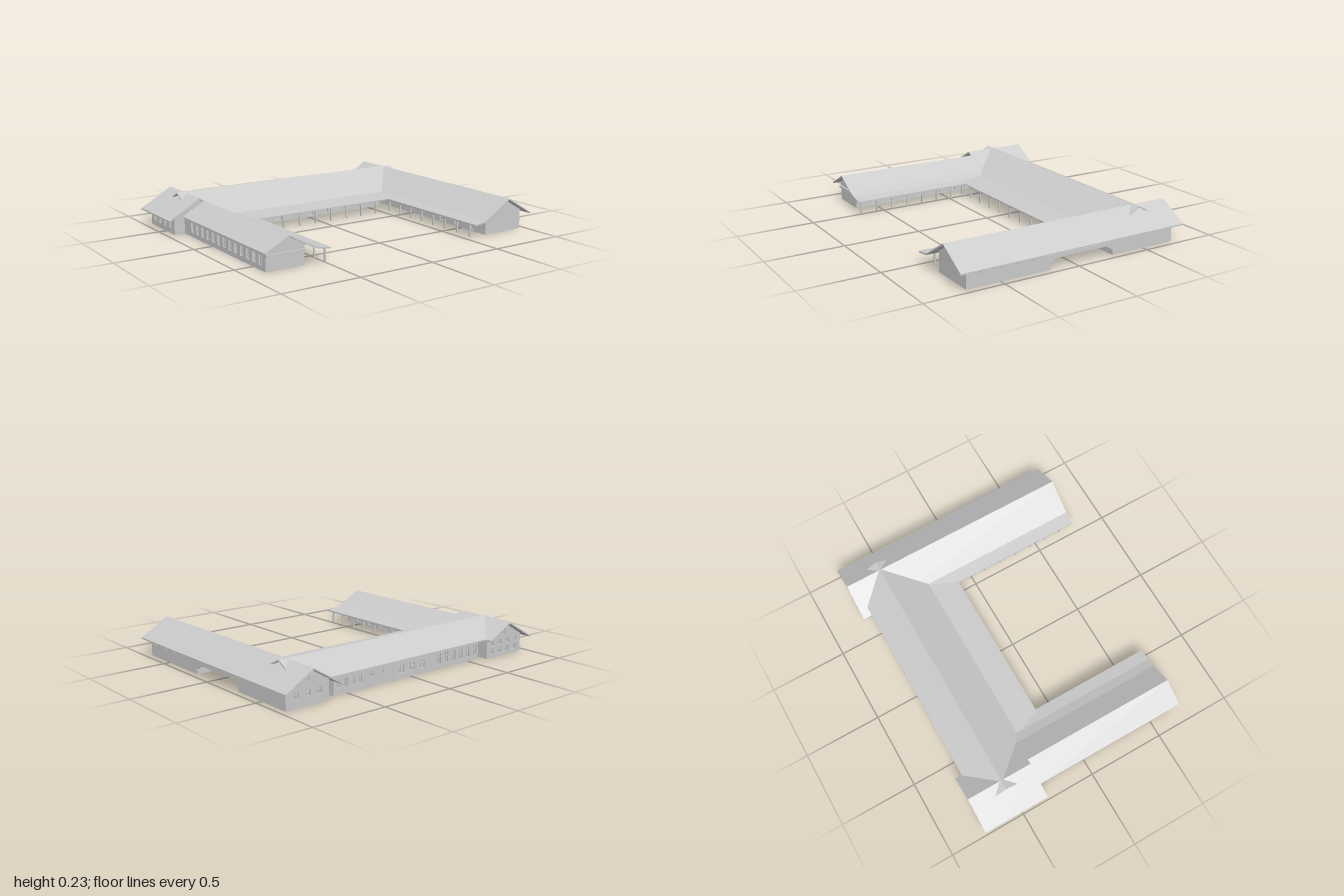
import * as THREE from 'three';

const mat = new THREE.MeshStandardMaterial({ color: 0xcccccc, flatShading: true, side: THREE.DoubleSide });
const T = 0.012;
const SIDES = { south: 0, east: Math.PI / 2, north: Math.PI, west: -Math.PI / 2 };

function add(parent, name, geo) {
  const m = new THREE.Mesh(geo, mat);
  m.name = name;
  parent.add(m);
  return m;
}

function box(parent, name, x0, x1, y0, y1, z0, z1) {
  const m = add(parent, name, new THREE.BoxGeometry(x1 - x0, y1 - y0, z1 - z0));
  m.position.set((x0 + x1) / 2, (y0 + y1) / 2, (z0 + z1) / 2);
  return m;
}

const shapeOf = (pts) => new THREE.Shape(pts.map(([x, y]) => new THREE.Vector2(x, y)));

// Roof sheet: a profile line given thickness and run along +z
function sheet(profile, from, to, t = 0.009) {
  const under = profile.map(([x, y]) => [x, y - t]).reverse();
  const g = new THREE.ExtrudeGeometry(shapeOf([...profile, ...under]), { depth: to - from, bevelEnabled: false });
  return g.translate(0, 0, from);
}

// Opening outline, square or with an arched head
function opening(o, Kind) {
  const { u, y, w, h, arch } = o, p = new Kind(), a = w / 2;
  p.moveTo(u - a, y);
  p.lineTo(u + a, y);
  if (arch) {
    p.lineTo(u + a, y + h * 0.7);
    p.quadraticCurveTo(u + a, y + h, u, y + h);
    p.quadraticCurveTo(u - a, y + h, u - a, y + h * 0.7);
  } else {
    p.lineTo(u + a, y + h);
    p.lineTo(u - a, y + h);
  }
  p.closePath();
  return p;
}

// Wall with openings, each closed by a recessed pane and two glazing bars.
// Outline and openings are given in world x (south, north) or z (east, west).
function wall(parent, name, side, at, outline, openings = []) {
  const g = new THREE.Group();
  g.name = name;
  const s = side === 'south' || side === 'west' ? 1 : -1;
  const shape = shapeOf(outline.map(([u, y]) => [u * s, y]));
  for (const o of openings) {
    const q = { ...o, u: o.u * s };
    shape.holes.push(opening(q, THREE.Path));
    const pane = add(g, 'pane', new THREE.ShapeGeometry(opening(q, THREE.Shape), 4));
    pane.position.z = -T * 0.9;
    if (o.bars === false) continue;
    box(g, 'glazingBar', q.u - 0.0015, q.u + 0.0015, o.y, o.y + o.h, -T * 0.9, -T * 0.4);
    box(g, 'glazingBar', q.u - o.w / 2, q.u + o.w / 2, o.y + o.h * 0.6, o.y + o.h * 0.6 + 0.003, -T * 0.9, -T * 0.4);
  }
  add(g, 'wallPanel', new THREE.ExtrudeGeometry(shape, { depth: T, bevelEnabled: false, curveSegments: 5 }).translate(0, 0, -T));
  g.rotation.y = SIDES[side];
  g.position[side === 'south' || side === 'north' ? 'z' : 'x'] = at;
  parent.add(g);
}

const rect = (a, b, y) => [[a, 0], [b, 0], [b, y], [a, y]];
const gable = (a, b, mid, yEave, yTop) => [[a, 0], [b, 0], [b, yEave], [mid, yTop], [a, yEave]];
const row = (n, u0, u1, y, w, h, extra = {}) =>
  Array.from({ length: n }, (_, i) => ({ u: u0 + ((u1 - u0) * i) / (n - 1), y, w, h, ...extra }));

// Veranda posts with head brackets and a beam along one eave
function veranda(parent, name, axis, fixed, from, to, n) {
  const g = new THREE.Group();
  g.name = name;
  const r = 0.005;
  for (let i = 0; i < n; i++) {
    const p = from + ((to - from) * i) / (n - 1);
    const [x, z] = axis === 'x' ? [p, fixed] : [fixed, p];
    box(g, 'post', x - r, x + r, 0, 0.09, z - r, z + r);
    for (const d of [-1, 1]) {
      if ((i === 0 && d < 0) || (i === n - 1 && d > 0)) continue;
      const b = add(g, 'bracket', new THREE.BoxGeometry(axis === 'x' ? 0.028 : 0.005, 0.005, axis === 'x' ? 0.005 : 0.028));
      b.position.set(x + (axis === 'x' ? d * 0.01 : 0), 0.076, z + (axis === 'z' ? d * 0.01 : 0));
      if (axis === 'x') b.rotation.z = d * 0.8;
      else b.rotation.x = -d * 0.8;
    }
  }
  if (axis === 'x') box(g, 'beam', from, to, 0.083, 0.092, fixed - r, fixed + r);
  else box(g, 'beam', fixed - r, fixed + r, 0.083, 0.092, from, to);
  parent.add(g);
}

function part(root, name) {
  const g = new THREE.Group();
  g.name = name;
  root.add(g);
  return g;
}

export function createModel() {
  const root = new THREE.Group();
  root.name = 'courtyardBuilding';

  // Middle range, standing free between the two wings
  const mid = part(root, 'middleRange');
  const midRoof = [[0.11, 0.095], [0.29, 0.104], [0.535, 0.23], [0.72, 0.132]];
  const [mx0, mx1] = [-0.59, 0.6];
  add(mid, 'middleRoof', sheet(midRoof.slice(1), -0.85, 0.87).rotateY(Math.PI / 2));
  add(mid, 'middleVerandaRoof', sheet(midRoof.slice(0, 2), -0.555, 0.6, 0.006).rotateY(Math.PI / 2));
  box(mid, 'middleFloor', mx0, mx1, 0, 0.004, -0.68, -0.3);
  const bays = row(9, -0.483, 0.503, 0.015, 0.055, 0.056);
  wall(mid, 'courtWall', 'south', -0.3, rect(mx0, mx1, 0.098), bays.map((b, i) =>
    [0, 1, 3, 6, 7, 8].includes(i) ? { ...b, y: 0.042, h: 0.028 } : { ...b, arch: true, bars: false }));
  wall(mid, 'backWall', 'north', -0.68, rect(mx0, mx1, 0.143), [
    ...row(4, 0.4, 0.56, 0.04, 0.026, 0.05),
    ...row(2, 0.23, 0.31, 0.06, 0.025, 0.03),
    ...row(3, -0.09, 0.08, 0.035, 0.05, 0.05, { arch: true }),
    ...row(6, -0.56, -0.24, 0.03, 0.03, 0.07),
  ]);
  wall(mid, 'endWall', 'east', mx1, rect(-0.68, -0.3, 0.098));
  wall(mid, 'endWall', 'west', mx0, rect(-0.68, -0.3, 0.098));
  veranda(mid, 'middleVeranda', 'x', -0.13, -0.545, 0.565, 10);

  // Left wing (+x), with a sheltered recess in its outer side
  const lw = part(root, 'leftWing');
  const outer = [[1, 0.114], [0.81, 0.226]];
  add(lw, 'leftRoofRear', sheet([...outer, [0.605, 0.1]], -0.775, -0.6));
  add(lw, 'leftRoofFront', sheet([...outer, [0.615, 0.105], [0.53, 0.094]], -0.6, 0.775));
  const recess = [[-0.27, 0], [-0.27, 0.035], [-0.22, 0.062], [0.13, 0.062], [0.17, 0.035], [0.17, 0]];
  wall(lw, 'leftOuterWall', 'east', 0.96, [[-0.72, 0], ...recess, [0.72, 0], [0.72, 0.127], [-0.72, 0.127]]);
  wall(lw, 'leftCourtWall', 'west', 0.665, rect(-0.72, 0.72, 0.126),
    row(3, 0.3, 0.6, 0.01, 0.04, 0.065, { bars: false }));
  const leftGable = gable(0.665, 0.96, 0.81, 0.127, 0.215);
  wall(lw, 'leftFrontGable', 'south', 0.72, leftGable);
  wall(lw, 'leftBackGable', 'north', -0.72, leftGable, [
    ...row(3, 0.73, 0.89, 0.055, 0.032, 0.04),
    { u: 0.81, y: 0.14, w: 0.025, h: 0.03, arch: true },
  ]);
  wall(lw, 'recessWall', 'north', 0.17, rect(0.665, 0.96, 0.08));
  wall(lw, 'recessWall', 'south', -0.27, rect(0.665, 0.96, 0.08));
  box(lw, 'recessCeiling', 0.67, 0.955, 0.062, 0.068, -0.27, 0.17);
  box(lw, 'recessPost', 0.81, 0.82, 0, 0.062, -0.045, -0.035);
  box(lw, 'recessLintel', 0.96, 0.966, 0.08, 0.087, -0.29, 0.2);
  for (const z of [0.635, 0.505, 0.4, 0.295]) box(lw, 'eaveBracket', 0.96, 0.985, 0.088, 0.11, z - 0.002, z + 0.002);
  box(lw, 'leftFloorFront', 0.665, 0.96, 0, 0.004, 0.17, 0.72);
  box(lw, 'leftFloorRear', 0.665, 0.96, 0, 0.004, -0.72, -0.27);
  veranda(lw, 'leftVeranda', 'z', 0.56, -0.13, 0.69, 8);

  // Right wing (-x): a broad rear block and a narrower front block
  const rw = part(root, 'rightWing');
  const rear = [[-1, 0.104], [-0.79, 0.224]];
  const inner = [[-0.615, 0.126], [-0.555, 0.104]];
  add(rw, 'rightRoofRear', sheet([...rear, [-0.62, 0.129]], -0.765, -0.6));
  add(rw, 'rightRoofInner', sheet([...rear, ...inner], -0.6, -0.33));
  add(rw, 'rightRoofFront', sheet([[-0.91, 0.122], [-0.755, 0.204], ...inner, [-0.48, 0.093]], -0.33, 0.687));
  add(rw, 'rightRoofEave', sheet([inner[1], [-0.48, 0.093]], -0.33, -0.11).translate(0, 0, -0.11));
  const rearGable = gable(-0.95, -0.63, -0.79, 0.12, 0.213);
  wall(rw, 'rearBlockBackGable', 'north', -0.72, rearGable, [
    ...row(4, -0.9, -0.68, 0.025, 0.028, 0.035),
    ...row(4, -0.9, -0.68, 0.08, 0.028, 0.03),
    { u: -0.79, y: 0.14, w: 0.03, h: 0.03, arch: true },
  ]);
  wall(rw, 'rearBlockFrontGable', 'south', -0.37, rearGable);
  wall(rw, 'rearBlockOuterWall', 'west', -0.95, rect(-0.72, -0.37, 0.12), row(4, -0.66, -0.43, 0.035, 0.03, 0.05));
  wall(rw, 'rearBlockInnerWall', 'east', -0.63, rect(-0.72, -0.37, 0.12));
  box(rw, 'rearBlockFloor', -0.95, -0.63, 0, 0.004, -0.72, -0.37);

  wall(rw, 'frontBlockOuterWall', 'west', -0.88, rect(-0.37, 0.64, 0.127), row(13, -0.26, 0.58, 0.03, 0.036, 0.06));
  wall(rw, 'frontBlockCourtWall', 'east', -0.63, rect(-0.37, 0.64, 0.122), row(6, -0.1, 0.52, 0.01, 0.04, 0.065, { bars: false }));
  wall(rw, 'frontBlockGable', 'south', 0.64, gable(-0.88, -0.63, -0.755, 0.127, 0.193));
  box(rw, 'gableBeam', -0.88, -0.63, 0.085, 0.1, 0.64, 0.652);
  box(rw, 'frontBlockFloor', -0.88, -0.63, 0, 0.004, -0.37, 0.64);
  veranda(rw, 'rightVeranda', 'z', -0.505, -0.13, 0.66, 8);

  return root;
}
